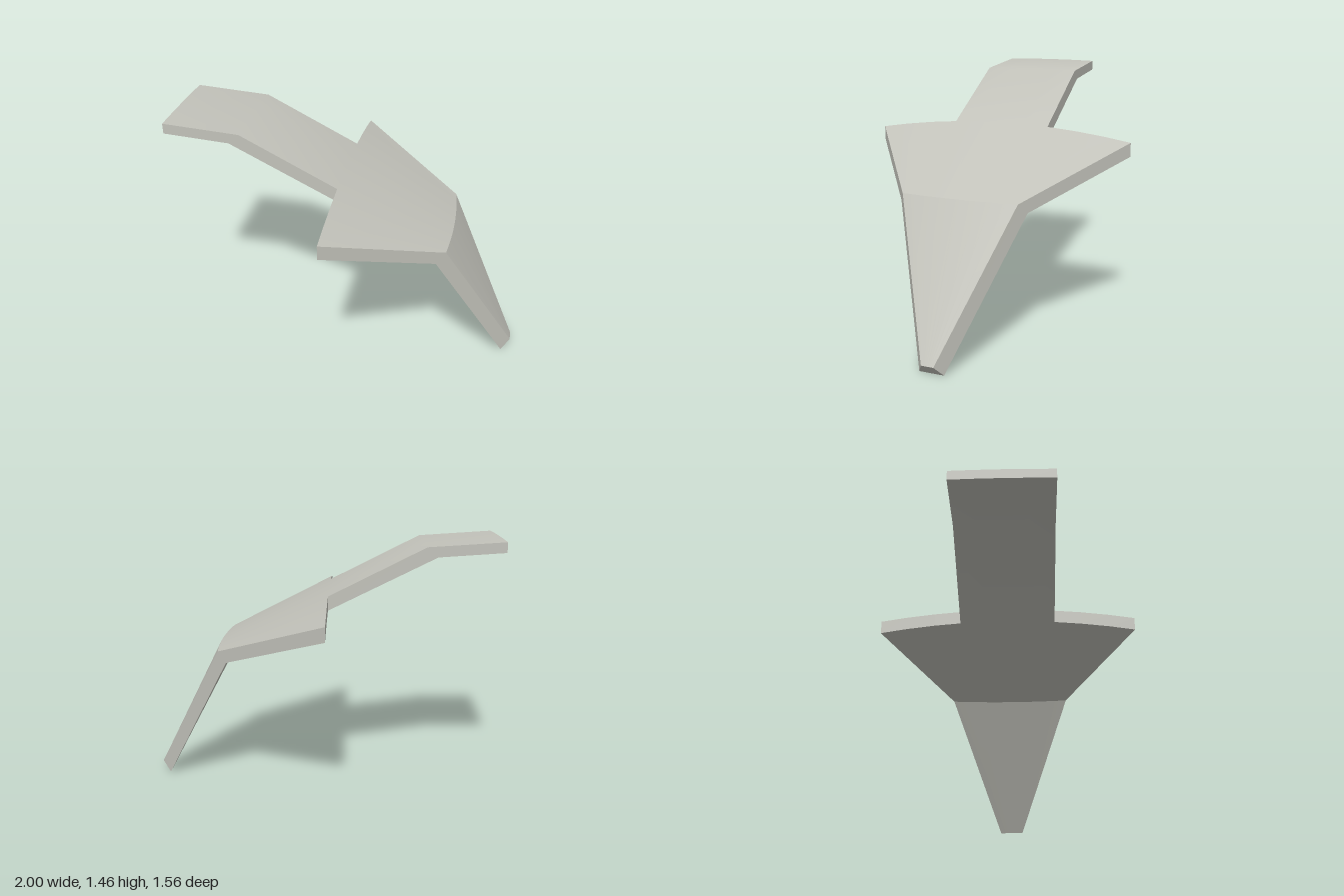
import * as THREE from 'three';
import { toCreasedNormals } from 'three/addons/utils/BufferGeometryUtils.js';

const TAIL = 0.29, WING = 0.78;          // half widths
const tailT = [-1, -0.5, 0, 0.5, 1];     // columns across the shaft
const k = TAIL / WING;
const headT = [-1, -0.8, -0.58, -k, -k / 2, 0, k / 2, k, 0.58, 0.8, 1];

// One cross-section: a shallow arch; back and drop are its edge offsets in x and y
const row = (ts, x, y, half, back, drop) =>
  ts.map((t) => new THREE.Vector3(x - back * t * t, y - drop * t * t, t * half));

export function createModel() {
  const pos = [];
  const quad = (a, b, c, d) => {
    for (const p of [a, b, c, a, c, d]) pos.push(p.x, p.y, p.z);
  };

  // Upper and lower skins and the two long side walls
  const slab = (top, bottom) => {
    const n = top[0].length - 1;
    for (let i = 0; i < top.length - 1; i++) {
      const [t, u, b, c] = [top[i], top[i + 1], bottom[i], bottom[i + 1]];
      for (let j = 0; j < n; j++) {
        quad(t[j], t[j + 1], u[j + 1], u[j]);
        quad(b[j], c[j], c[j + 1], b[j + 1]);
      }
      quad(b[n], c[n], u[n], t[n]);
      quad(c[0], b[0], t[0], u[0]);
    }
  };
  // Wall across one segment of a section, facing -x
  const wall = (t, b, j) => quad(b[j], b[j + 1], t[j + 1], t[j]);

  // Shaft
  const shaftTop = [
    row(tailT, -1, 1.457, TAIL, 0, 0.004),
    row(tailT, -0.57, 1.43, TAIL, 0, 0.006),
    row(tailT, -0.03, 1.16, TAIL, 0, 0.07 * k * k),
  ];
  const shaftBottom = [
    row(tailT, -1, 1.399, TAIL, 0, 0.004),
    row(tailT, -0.63, 1.375, TAIL, 0, 0.006),
    row(tailT, -0.03, 1.08, TAIL, 0, 0.07 * k * k),
  ];
  slab(shaftTop, shaftBottom);
  for (let j = 0; j < tailT.length - 1; j++) wall(shaftTop[0], shaftBottom[0], j);

  // Arrow head, bent down towards its blunt tip
  const headTop = [
    row(headT, -0.03, 1.16, WING, 0, 0.07),
    row(headT, 0.605, 0.843, 0.335, 0.02, 0),
    row(headT, 1, 0.06, 0.035, 0, 0),
  ];
  const headBottom = [
    row(headT, -0.03, 1.08, WING, 0, 0.07),
    row(headT, 0.555, 0.787, 0.371, 0.02, 0),
    row(headT, 0.95, 0, 0.071, 0, 0),
  ];
  slab(headTop, headBottom);
  const t = headTop[2], b = headBottom[2];
  for (let j = 0; j < headT.length - 1; j++) {
    if (Math.abs(headT[j] + headT[j + 1]) / 2 > k) wall(headTop[0], headBottom[0], j);
    quad(b[j + 1], b[j], t[j], t[j + 1]);
  }

  // Soft bend on the shaft, sharp crease on the head
  let geometry = new THREE.BufferGeometry();
  geometry.setAttribute('position', new THREE.Float32BufferAttribute(pos, 3));
  geometry = toCreasedNormals(geometry, THREE.MathUtils.degToRad(30));

  const material = new THREE.MeshStandardMaterial({ color: 0xc2c2ba });
  material.name = 'warm grey';
  const mesh = new THREE.Mesh(geometry, material);
  mesh.name = 'bentArrowPlate';
  const group = new THREE.Group();
  group.name = 'bentArrow';
  group.add(mesh);
  return group;
}
